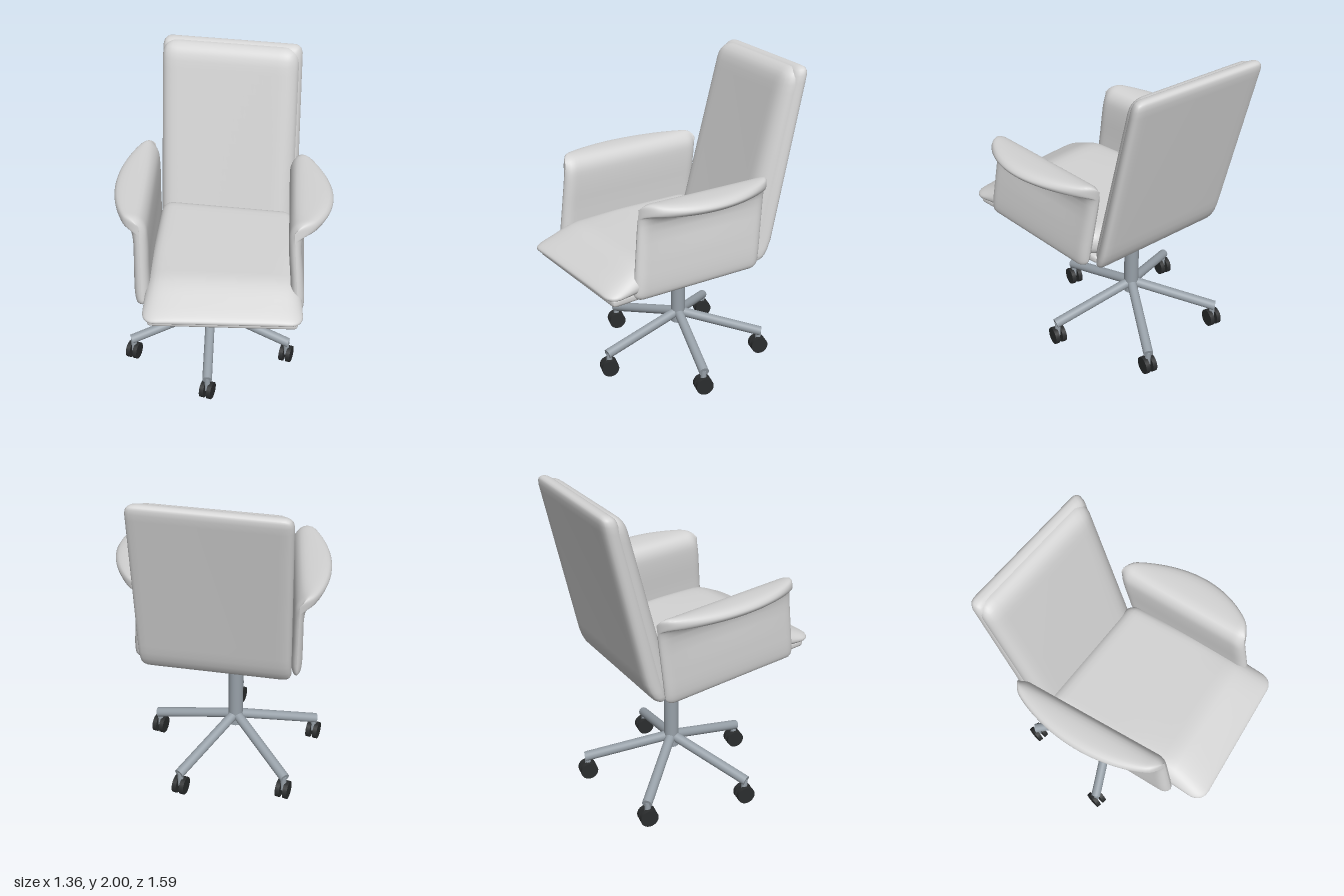
import * as THREE from 'three';
import { mergeVertices } from 'three/addons/utils/BufferGeometryUtils.js';

const { lerp, clamp, smoothstep } = THREE.MathUtils;
const V = (x, y, z) => new THREE.Vector3(x, y, z);

const upholstery = new THREE.MeshStandardMaterial({ color: 0xd4d4d4 });
upholstery.name = 'upholstery grey';
const steel = new THREE.MeshStandardMaterial({ color: 0x98a1a9 });
steel.name = 'steel blue grey';
const rubber = new THREE.MeshStandardMaterial({ color: 0x2b2d2e });
rubber.name = 'caster black';

function add(parent, name, geometry, material) {
  const mesh = new THREE.Mesh(geometry, material);
  mesh.name = name;
  parent.add(mesh);
  return mesh;
}

// Rounded box whose unit coordinates (u, v, w) are sent through a mapping rule
function softBox(size, radius, map, n = 22) {
  const box = new THREE.BoxGeometry(1, 1, 1, n, n, n);
  box.deleteAttribute('uv');
  box.deleteAttribute('normal');
  const g = mergeVertices(box);
  const p = g.attributes.position;
  const s = size.toArray();
  for (let i = 0; i < p.count; i++) {
    // crowd the vertices towards the edges, then round them
    const q = [p.getX(i), p.getY(i), p.getZ(i)].map((c, k) => Math.sin(Math.PI * c) * s[k] / 2);
    const inner = V(...q.map((c, k) => {
      const m = Math.max(s[k] / 2 - radius, 0);
      return clamp(c, -m, m);
    }));
    const r = V(...q).sub(inner).setLength(radius).add(inner);
    const out = map(r.x / s[0] + 0.5, r.y / s[1] + 0.5, r.z / s[2] + 0.5);
    p.setXYZ(i, out.x, out.y, out.z);
  }
  g.computeVertexNormals();
  return g;
}

// Blend of eight corners; each pair runs from the right side to the left side
function cage(bottomBack, bottomFront, topBack, topFront) {
  const edge = (pair, u) => V(...pair[0]).lerp(V(...pair[1]), u);
  return (u, v, w) => {
    const low = edge(bottomBack, u).lerp(edge(bottomFront, u), w);
    return low.lerp(edge(topBack, u).lerp(edge(topFront, u), w), v);
  };
}

function rod(parent, name, a, b, r, material) {
  const d = b.clone().sub(a);
  const mesh = add(parent, name, new THREE.CylinderGeometry(r, r, d.length(), 24), material);
  mesh.position.copy(a).lerp(b, 0.5);
  mesh.quaternion.setFromUnitVectors(V(0, 1, 0), d.normalize());
  return mesh;
}

// Upright panel with a lip that flares outwards at the top, lofted from back to front
function armGeometry({ start, end, side, flare, peak, lean, thickness }) {
  const along = end.clone().sub(start);
  const length = along.length();
  along.normalize();
  const out = V(along.z, 0, -along.x).multiplyScalar(side);
  const rows = 36, cols = 56;
  const pos = [], index = [];
  for (let i = 0; i <= rows; i++) {
    const t = (1 - Math.cos(Math.PI * i / rows)) / 2;
    const T = lerp(thickness[0], thickness[1], t);
    const w = flare * Math.pow(Math.max(Math.sin(Math.PI * t ** peak), 0), 0.6);
    const d = Math.min(t, 1 - t) * length;
    const s = Math.sqrt(1 - (1 - Math.min(1, d / 0.06)) ** 2);
    const section = new THREE.CatmullRomCurve3([
      [T / 2, 0.81], [0.012, 0.825], [0, 0.88], [0, 1.05], [0, 1.23], [0.012, 1.32], [0.05, 1.37],
      [T + w * 0.4, 1.386], [T + w * 0.88, 1.377], [T + w, 1.35], [T + w * 0.88, 1.322],
      [T + w * 0.35, 1.31], [T, 1.25], [T, 1.05], [T, 0.88], [T - 0.012, 0.825],
    ].map(([o, y]) => V(o, y, 0)), true, 'centripetal');
    for (let j = 0; j < cols; j++) {
      const c = section.getPoint(j / cols);
      const mid = T / 2 + w * 0.3 * smoothstep(c.y, 1.25, 1.33);
      const y = lerp(1.1, c.y, 1 - 0.16 * (1 - s));
      const drop = (1.38 - y) / 0.57;
      const p = start.clone().addScaledVector(along, t * length + 0.07 * drop)
        .addScaledVector(out, lerp(mid, c.x, s) + lean * drop);
      pos.push(p.x, y, p.z);
      if (i === rows) continue;
      const a = i * cols + j, b = a + cols, e = i * cols + (j + 1) % cols, f = e + cols;
      if (side > 0) index.push(a, b, e, b, f, e);
      else index.push(a, e, b, b, e, f);
    }
  }
  const g = new THREE.BufferGeometry();
  g.setAttribute('position', new THREE.Float32BufferAttribute(pos, 3));
  g.setIndex(index);
  g.computeVertexNormals();
  return g;
}

export function createModel() {
  const model = new THREE.Group();
  model.name = 'officeChair';

  // Backrest: rear shell with a full front cushion, meeting in a seam
  const backrest = new THREE.Group();
  backrest.name = 'backrest';
  model.add(backrest);
  const back = cage(
    [[-0.575, 0.8, -0.39], [0.345, 0.8, -0.555]], [[-0.52, 0.8, -0.21], [0.3, 0.8, -0.37]],
    [[-0.635, 2, -0.67], [0.255, 2, -0.81]], [[-0.61, 1.985, -0.52], [0.235, 1.985, -0.66]]);
  add(backrest, 'backShell', softBox(V(0.88, 1.2, 0.12), 0.055, (u, v, w) => {
    // the lower edge curls forward
    const curl = 0.35 * Math.max(0, 1 - v / 0.13) ** 2;
    return back(u, v, lerp(w * 0.66, 0.66, curl));
  }), upholstery);
  add(backrest, 'backCushion', softBox(V(0.86, 1.18, 0.18), 0.085,
    (u, v, w) => back(lerp(0.006, 0.994, u), lerp(0.01, 0.994, v), lerp(0.12, 1, w))), upholstery);

  // Seat: thin base with a cushion that falls away at the front
  const seat = new THREE.Group();
  seat.name = 'seat';
  model.add(seat);
  const R = [-0.53, -0.29], L = [0.33, -0.45], FR = [-0.205, 0.82], FL = [0.685, 0.53];
  const level = (a, b, y) => [[a[0], y, a[1]], [b[0], y, b[1]]];
  const pan = cage(level(R, L, 0), level(FR, FL, 0), level(R, L, 1), level(FR, FL, 1));
  add(seat, 'seatBase', softBox(V(0.9, 0.06, 1), 0.025, (u, v, w) => {
    const p = pan(lerp(0.03, 0.97, u), v, lerp(0, 0.965, w));
    p.y = lerp(0.798, 0.855, v);
    return p;
  }), upholstery);
  add(seat, 'seatCushion', softBox(V(0.9, 0.17, 1), 0.08, (u, v, w) => {
    const p = pan(u, v, w);
    const side = Math.abs(2 * u - 1) ** 6;
    const fall = (1 - 0.62 * smoothstep(w, 0.74, 1.02)) * (1 - 0.3 * side * smoothstep(w, 0.4, 0.95));
    p.y = 0.835 + 0.168 * v * fall;
    return p;
  }, 30), upholstery);

  // Raised mouldings under the seat
  for (const [x, z, w, d] of [[-0.16, -0.12, 0.28, 0.2], [0.2, 0.2, 0.16, 0.14], [-0.08, 0.28, 0.14, 0.12]]) {
    const m = add(seat, 'underseatMoulding', softBox(V(w, 0.05, d), 0.02,
      (u, v, k) => V((u - 0.5) * w, (v - 0.5) * 0.05, (k - 0.5) * d), 8), upholstery);
    m.position.set(x, 0.8, z);
    m.rotation.y = 0.3;
  }

  // Armrests
  add(model, 'rightArmrest', armGeometry({
    start: V(-0.575, 0, -0.39), end: V(-0.26, 0, 0.55), side: -1,
    flare: 0.155, peak: 1, lean: 0, thickness: [0.06, 0.09],
  }), upholstery);
  add(model, 'leftArmrest', armGeometry({
    start: V(0.265, 0, -0.5), end: V(0.51, 0, 0.335), side: 1,
    flare: 0.19, peak: 1.15, lean: 0.045, thickness: [0.08, 0.075],
  }), upholstery);

  // Five-star base on casters
  const base = new THREE.Group();
  base.name = 'base';
  base.position.set(-0.128, 0, -0.115);
  model.add(base);
  rod(base, 'post', V(0, 0.23, 0), V(0, 0.82, 0), 0.047, steel);
  for (let i = 0; i < 5; i++) {
    const a = i * Math.PI * 2 / 5;
    const at = (r, y) => V(r * Math.cos(a), y, r * Math.sin(a));
    rod(base, 'leg', at(0, 0.3), at(0.555, 0.15), 0.031, steel);
    const caster = new THREE.Group();
    caster.name = 'caster';
    caster.position.copy(at(0.542, 0.056));
    base.add(caster);
    rod(caster, 'casterStem', V(0, 0, 0), V(0, 0.1, 0), 0.019, steel);
    for (const s of [-1, 1]) {
      rod(caster, 'casterWheel', V(s * 0.01, 0, 0), V(s * 0.038, 0, 0), 0.056, rubber);
    }
  }
  return model;
}
